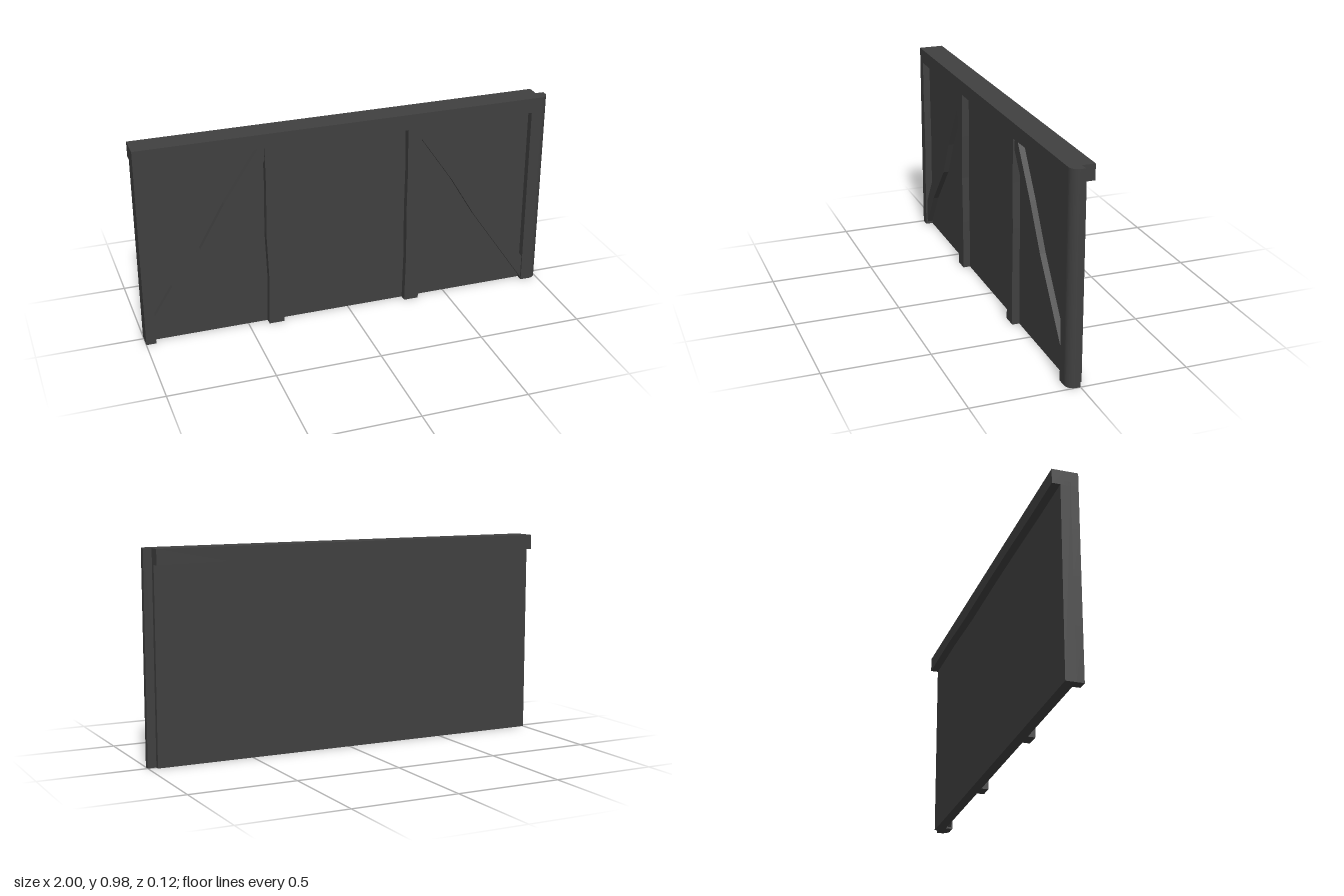
import * as THREE from 'three';

const BACK = -0.022, PANEL = 0.025, FRONT = 0.06, TOP = 0.98;

export function createModel() {
  const group = new THREE.Group();
  group.name = 'timberWall';
  const material = new THREE.MeshStandardMaterial({ color: 0x404040 });

  function add(name, geometry) {
    const mesh = new THREE.Mesh(geometry, material);
    mesh.name = name;
    group.add(mesh);
    return mesh;
  }

  // Flat outline in x/y, given thickness from z0 to z1
  function slab(name, points, z0, z1) {
    const shape = new THREE.Shape(points.map(([x, y]) => new THREE.Vector2(x, y)));
    const geometry = new THREE.ExtrudeGeometry(shape, { depth: z1 - z0, bevelEnabled: false });
    geometry.translate(0, 0, z0);
    return add(name, geometry);
  }

  const rect = (x0, x1, y0, y1) => [[x0, y0], [x1, y0], [x1, y1], [x0, y1]];

  // Plaster panel
  slab('panel', rect(-1, 0.96, 0, 0.93), BACK, PANEL);

  // Top beam with a hand-hewn lower edge, its back half overhanging the panel
  const hewn = [[-0.7, 0.908], [-0.4, 0.912], [-0.1, 0.912], [0.3, 0.905], [0.62, 0.913]];
  const beam = (end) => [[-1, 0.91], ...hewn, [end, 0.908], [end, TOP], [-1, TOP]];
  slab('topBeamBack', beam(0.96), -0.06, 0);
  slab('topBeamFront', beam(0.915), 0, FRONT);

  // Upright posts with slightly wavy sides
  const heights = [0, 0.25, 0.48, 0.7, 0.912];
  function post(name, left, right) {
    const a = left.map((x, i) => [x, heights[i]]);
    const b = right.map((x, i) => [x, heights[i]]);
    slab(name, [...b, ...a.reverse()], PANEL, FRONT);
  }
  post('endPost', [-1, -1, -1, -1, -1], [-0.953, -0.95, -0.945, -0.952, -0.955]);
  post('rightMiddlePost', [-0.405, -0.4, -0.408, -0.403, -0.405], [-0.332, -0.332, -0.34, -0.332, -0.332]);
  post('leftMiddlePost', [0.283, 0.288, 0.285, 0.288, 0.285], [0.355, 0.352, 0.357, 0.351, 0.355]);

  // Corner post with a rounded outer edge, drawn in plan and stood upright
  const plan = new THREE.Shape();
  plan.moveTo(0.915, 0);
  plan.lineTo(0.915, -FRONT);
  plan.lineTo(0.96, -FRONT);
  plan.absarc(0.96, -0.02, 0.04, -Math.PI / 2, 0, false);
  plan.lineTo(1, 0);
  const corner = new THREE.ExtrudeGeometry(plan, { depth: TOP, bevelEnabled: false, curveSegments: 6 });
  corner.rotateX(-Math.PI / 2);
  add('cornerPost', corner);

  // Diagonal braces
  slab('rightBrace', [
    [-0.955, 0.01], [-0.84, 0.19], [-0.66, 0.4], [-0.57, 0.58], [-0.405, 0.85], [-0.405, 0.91],
    [-0.435, 0.91], [-0.6, 0.66], [-0.72, 0.45], [-0.86, 0.28], [-0.955, 0.13],
  ], PANEL, 0.052);
  slab('leftBrace', [
    [0.915, 0.01], [0.915, 0.13], [0.66, 0.48], [0.54, 0.68], [0.385, 0.91], [0.355, 0.91],
    [0.355, 0.85], [0.52, 0.61], [0.64, 0.41],
  ], PANEL, 0.052);

  return group;
}
